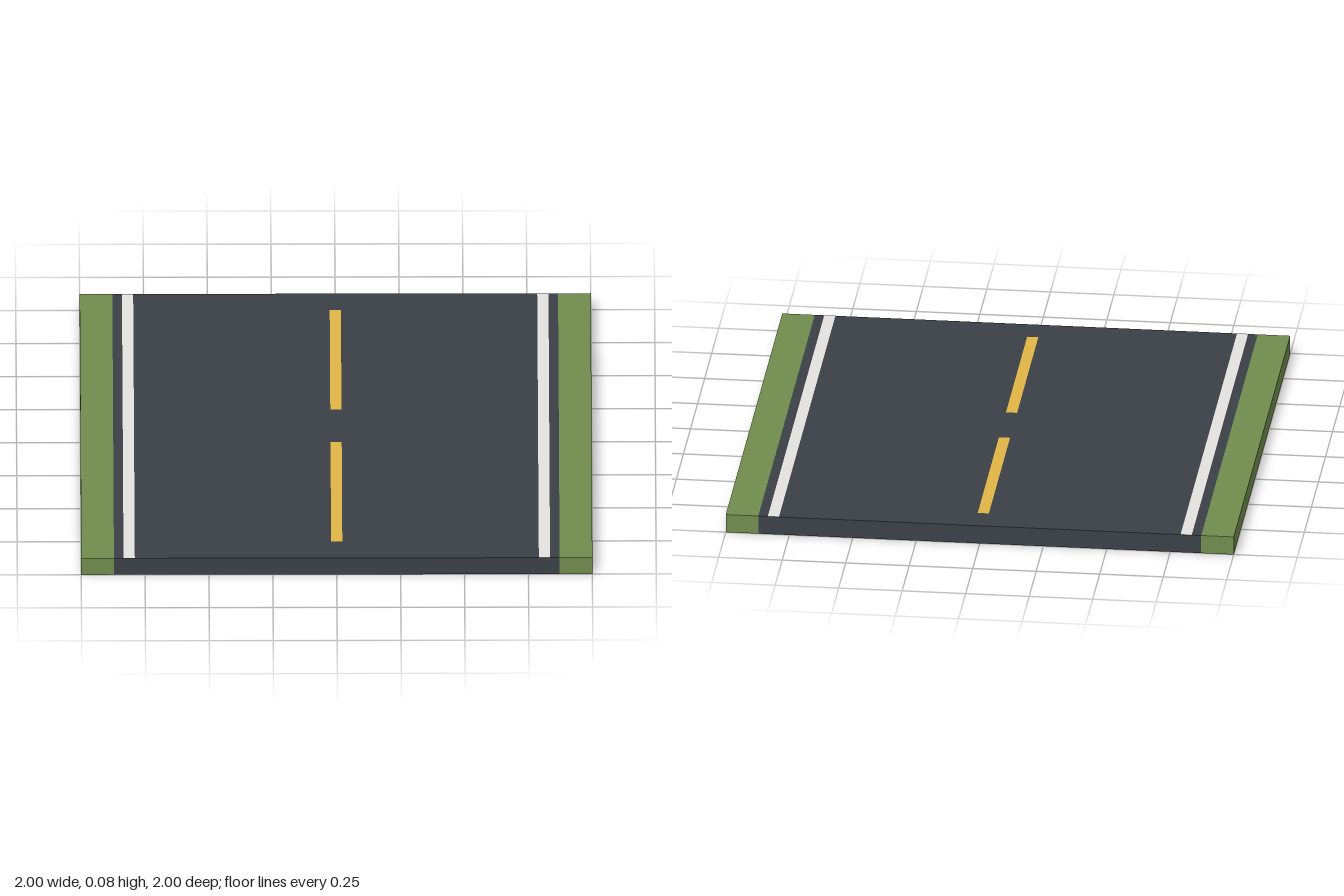
import * as THREE from 'three';

const HEIGHT = 0.075;
const LENGTH = 2;
const ROAD_HALF = 0.872;

// The tile is an open shell, so both sides of its sheets show
const paint = (name, color) => {
  const material = new THREE.MeshStandardMaterial({ color, side: THREE.DoubleSide });
  material.name = name;
  return material;
};

export function createModel() {
  const asphalt = paint('asphalt', 0x3a4047);
  const grass = paint('grass', 0x718c4e);
  const white = paint('white paint', 0xe4e2de);
  const yellow = paint('yellow paint', 0xe0b545);

  const model = new THREE.Group();
  model.name = 'roadTile';

  const addSheet = (parent, name, material, geometry, x, y, z) => {
    const mesh = new THREE.Mesh(geometry, material);
    mesh.name = name;
    mesh.position.set(x, y, z);
    parent.add(mesh);
  };

  const flat = (width, length) => new THREE.PlaneGeometry(width, length).rotateX(-Math.PI / 2);

  // Top sheet with a wall folded down at each end
  const addStrip = (name, material, width, x) => {
    const strip = new THREE.Group();
    strip.name = name;
    model.add(strip);
    addSheet(strip, name + 'Top', material, flat(width, LENGTH), x, HEIGHT, 0);
    for (const [end, sign] of [['Front', 1], ['Back', -1]]) {
      const wall = new THREE.PlaneGeometry(width, HEIGHT).rotateY(sign > 0 ? 0 : Math.PI);
      addSheet(strip, name + end + 'Wall', material, wall, x, HEIGHT / 2, sign * LENGTH / 2);
    }
  };

  // Flat marking lying just above the road surface
  const addMarking = (name, material, width, length, x, z) =>
    addSheet(model, name, material, flat(width, length), x, HEIGHT + 0.0005, z);

  // Road bed
  addStrip('roadBed', asphalt, ROAD_HALF * 2, 0);

  // Grass verges with outer walls, and white edge lines, mirrored
  for (const [side, sign] of [['left', 1], ['right', -1]]) {
    addStrip(side + 'Verge', grass, 1 - ROAD_HALF, sign * (1 + ROAD_HALF) / 2);
    const wall = new THREE.PlaneGeometry(LENGTH, HEIGHT).rotateY(sign * Math.PI / 2);
    addSheet(model, side + 'VergeOuterWall', grass, wall, sign, HEIGHT / 2, 0);
    addMarking(side + 'EdgeLine', white, 0.044, LENGTH, sign * 0.8125, 0);
  }

  // Yellow centre dashes
  addMarking('frontCentreDash', yellow, 0.044, 0.752, 0, 0.5);
  addMarking('backCentreDash', yellow, 0.044, 0.752, 0, -0.5);

  return model;
}
